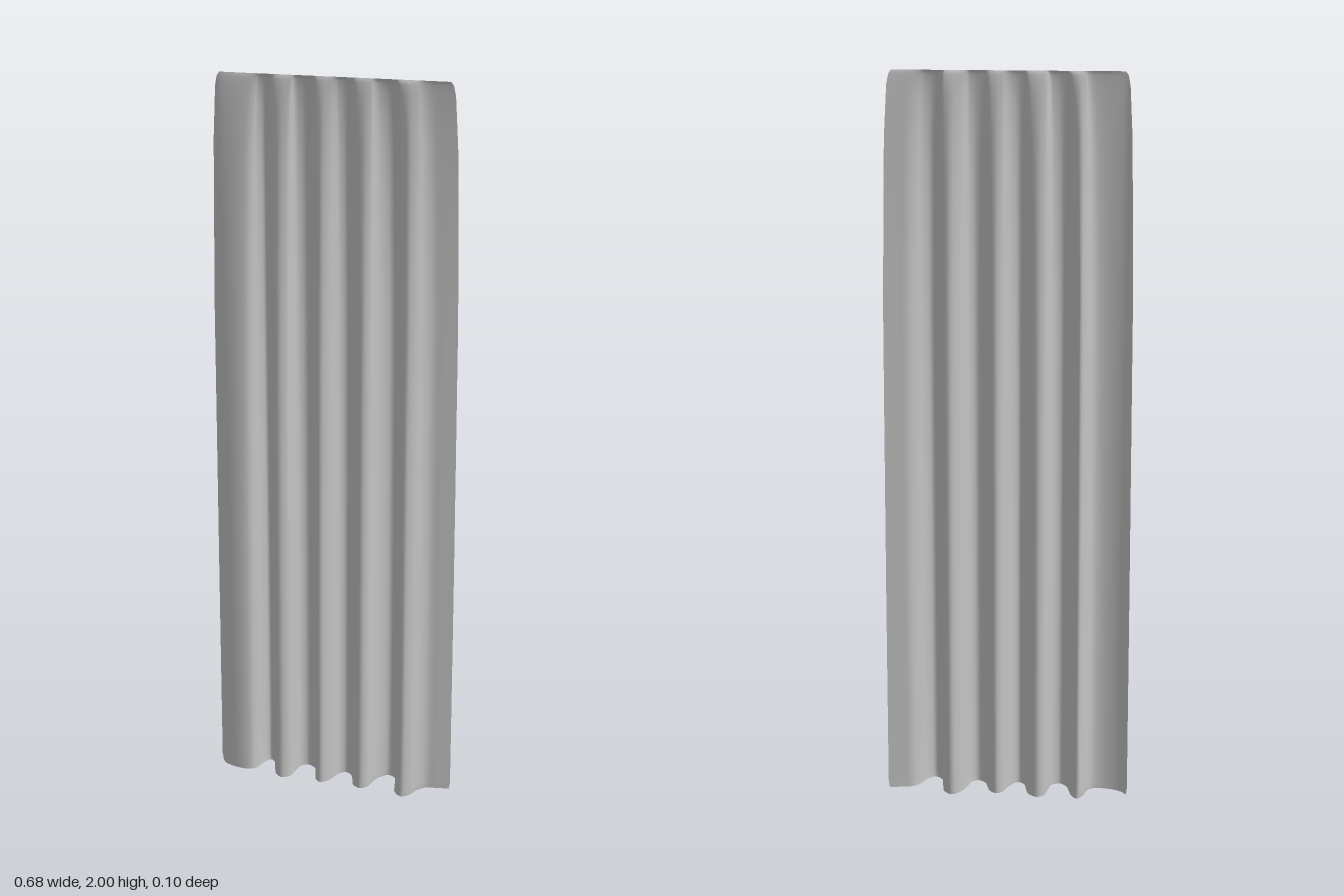
import * as THREE from 'three';

// Hem outline of the pleats as [x, z], from the right edge to the left edge
const hem = [
  [-0.338, -0.008], [-0.325, 0.008], [-0.295, 0.02], [-0.26, 0.024], [-0.237, 0.018],
  [-0.224, 0], [-0.216, -0.025], [-0.2, -0.043], [-0.184, -0.028],
  [-0.175, 0], [-0.166, 0.026], [-0.145, 0.041], [-0.122, 0.028],
  [-0.115, 0], [-0.106, -0.033], [-0.085, -0.044], [-0.061, -0.028],
  [-0.052, 0], [-0.045, 0.026], [-0.028, 0.037], [-0.01, 0.024],
  [0.003, 0], [0.014, -0.024], [0.031, -0.033], [0.049, -0.022],
  [0.058, 0], [0.068, 0.027], [0.09, 0.038], [0.108, 0.026],
  [0.116, 0], [0.129, -0.03], [0.155, -0.051], [0.179, -0.035],
  [0.185, 0], [0.19, 0.028], [0.212, 0.049], [0.234, 0.035],
  [0.252, 0.004], [0.272, -0.014], [0.302, -0.02], [0.338, -0.026],
];

// Half width of the cloth as [height, half width], with softened corners
const outline = [
  [2, 0.295], [1.99, 0.302], [1.965, 0.307], [1.83, 0.315],
  [1.4, 0.325], [0.6, 0.333], [0.02, 0.338], [0, 0.335],
];

function halfWidth(y) {
  for (let i = 1; i < outline.length; i++) {
    const [y0, w0] = outline[i - 1], [y1, w1] = outline[i];
    if (y >= y1) return THREE.MathUtils.lerp(w0, w1, (y0 - y) / (y0 - y1));
  }
  return outline.at(-1)[1];
}

export function createModel() {
  const group = new THREE.Group();
  group.name = 'curtain';
  const cloth = new THREE.MeshStandardMaterial({ color: 0xc4c4c4, side: THREE.DoubleSide });
  cloth.name = 'grey cloth';

  // Pleated sheet: wavy at the hem, gathered flat along the top edge
  const columns = 160;
  const curve = new THREE.CatmullRomCurve3(hem.map(([x, z]) => new THREE.Vector3(x, 0, z)));
  const points = curve.getPoints(columns);
  const heights = [2, 1.995, 1.99, 1.98, 1.965, 1.94, 1.91, 1.87, 1.83, 1.77, 1.7, 1.6,
    1.5, 1.4, 1.2, 1, 0.8, 0.6, 0.4, 0.2, 0.02, 0];
  const sheet = new THREE.PlaneGeometry(1, 1, columns, heights.length - 1);
  const position = sheet.attributes.position;
  heights.forEach((y, row) => {
    const depth = Math.sin((Math.PI / 2) * Math.sqrt((2 - y) / 2));
    const scale = halfWidth(y) / 0.338;
    points.forEach((p, column) => {
      position.setXYZ(row * (columns + 1) + column, p.x * scale, y, p.z * depth);
    });
  });
  sheet.computeVertexNormals();

  const mesh = new THREE.Mesh(sheet, cloth);
  mesh.name = 'pleatedCloth';
  group.add(mesh);
  return group;
}
